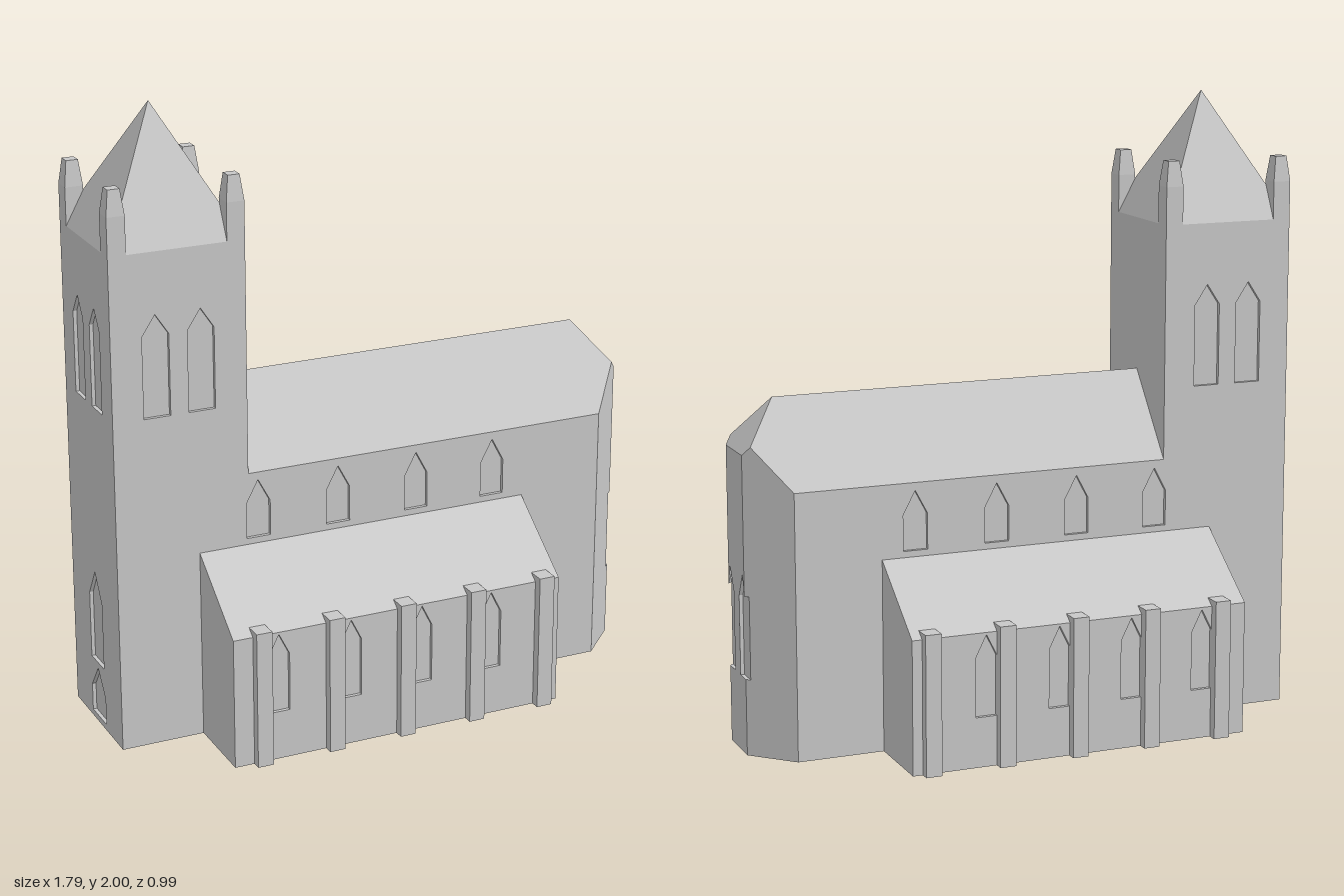
import * as THREE from 'three';
import { ConvexGeometry } from 'three/addons/geometries/ConvexGeometry.js';

const W = 0.207;               // half width of tower and nave
const T = 0.012;               // depth of the window recesses
const TOWER = [-0.9, -0.465];  // tower extent in x
const CHAMFER = 0.77, END = 0.895, EAVES = 0.85, RIDGE = 1.11;

export function createModel() {
  const stone = new THREE.MeshStandardMaterial({ color: 0xc8c8c8 });
  stone.name = 'stone grey';
  const church = new THREE.Group();
  church.name = 'church';

  const add = (name, geometry) => {
    const mesh = new THREE.Mesh(geometry, stone);
    mesh.name = name;
    church.add(mesh);
    return mesh;
  };

  const box = (name, x0, x1, y0, y1, z0, z1) =>
    add(name, new THREE.BoxGeometry(x1 - x0, y1 - y0, z1 - z0)
      .translate((x0 + x1) / 2, (y0 + y1) / 2, (z0 + z1) / 2));

  const hull = (name, points) =>
    add(name, new ConvexGeometry(points.map((p) => new THREE.Vector3(...p))));

  // Extrusion of an outline with holes, always wound counter-clockwise
  const extrude = (outline, depth, holes = []) => {
    const toPoints = (list) => list.map(([u, v]) => new THREE.Vector2(u, v));
    const points = toPoints(outline);
    if (THREE.ShapeUtils.area(points) < 0) points.reverse();
    const shape = new THREE.Shape(points);
    shape.holes = holes.map((h) => new THREE.Path(toPoints(h)));
    return new THREE.ExtrudeGeometry(shape, { depth, bevelEnabled: false });
  };

  // Pointed window outline
  const lancet = (c, half, y0, shoulder, peak) =>
    [[c - half, y0], [c + half, y0], [c + half, shoulder], [c, peak], [c - half, shoulder]];

  // Wall slab with window holes; its outer face lies at the given distance
  const wall = (outline, holes, distance, angle) =>
    extrude(outline, T, holes).translate(0, 0, distance - T).rotateY(angle);

  const rect = (u0, u1, v0, v1) => [[u0, v0], [u1, v0], [u1, v1], [u0, v1]];

  // Tower body and its west wall with door and windows
  box('towerCore', TOWER[0] + T, TOWER[1], 0, 1.6, -W + T, W - T);
  add('towerEndWall', wall(rect(-W + T, W - T, 0, 1.6), [
    lancet(-0.072, 0.043, 1.08, 1.34, 1.405),
    lancet(0.072, 0.043, 1.08, 1.34, 1.405),
    lancet(0, 0.055, 0.21, 0.43, 0.52),
    lancet(0, 0.06, 0.02, 0.11, 0.19),
  ], 0.9, -Math.PI / 2));

  // Pyramid spire
  const towerX = (TOWER[0] + TOWER[1]) / 2;
  const halfX = (TOWER[1] - TOWER[0]) / 2;
  const corners = [[-1, -1], [1, -1], [1, 1], [-1, 1]];
  hull('spire', [[towerX, 2, 0],
    ...corners.map(([i, k]) => [towerX + i * halfX, 1.6, k * W])]);

  // Corner pinnacles with tapered tops
  for (const [i, k] of corners) {
    const r = 0.029, x = towerX + i * (halfX - r), z = k * (W - r);
    hull('pinnacle', [[1.6, r], [1.72, r], [1.8, 0.019]].flatMap(([y, h]) =>
      corners.map(([a, b]) => [x + a * h, y, z + b * h])));
  }

  // Nave body, pitched roof and hipped apse roof
  box('naveCore', TOWER[1], CHAMFER, 0, EAVES, -W + T, W - T);
  const pitch = (RIDGE - EAVES) / W;
  const endZ = CHAMFER + W - END;
  const tip = RIDGE - (END - CHAMFER) * pitch;
  hull('naveRoof', [[TOWER[1], RIDGE, 0], [CHAMFER, RIDGE, 0],
    ...[1, -1].flatMap((s) => [
      [TOWER[1], EAVES, s * W], [CHAMFER, EAVES, s * W], [END, EAVES, s * endZ],
      [END, tip, s * endZ], [CHAMFER + W / 2, RIDGE - pitch * W / 2, s * W / 2],
    ])]);

  // Apse walls below the roof
  const innerZ = endZ + T;
  hull('apse', [0, EAVES].flatMap((y) => [1, -1].flatMap((s) =>
    [[CHAMFER, y, s * W], [END - T, y, s * innerZ]])));

  // Apse end wall: windows are notched through its chamfered corners
  const half = [[innerZ, 0], [innerZ, 0.245], [0.028, 0.245], [0.028, 0.5],
    [0.065, 0.575], [innerZ, 0.51], [innerZ, EAVES]];
  const mirrored = half.map(([u, v]) => [-u, v]).reverse();
  const endWall = extrude([...half, ...mirrored], T);
  const pos = endWall.attributes.position;
  for (let i = 0; i < pos.count; i++) {
    if (pos.getZ(i) > T / 2) pos.setX(i, THREE.MathUtils.clamp(pos.getX(i), -endZ, endZ));
  }
  endWall.computeVertexNormals();
  add('apseEndWall', endWall.translate(0, 0, END - T).rotateY(Math.PI / 2));

  // Long sides, mirrored front to back
  for (const s of [1, -1]) {
    const angle = s > 0 ? 0 : Math.PI;
    const flip = (list) => list.map(([u, v]) => [u * s, v]);

    // Shared side wall of tower and nave
    const elevation = [[TOWER[0], 0], [CHAMFER, 0], [CHAMFER, EAVES],
      [TOWER[1], EAVES], [TOWER[1], 1.6], [TOWER[0], 1.6]];
    const windows = [-0.757, -0.612].map((x) => lancet(x, 0.043, 1.08, 1.34, 1.405));
    for (let i = 0; i < 4; i++) {
      windows.push(lancet(-0.433 + i * 0.271, 0.04, 0.635, 0.75, 0.825));
    }
    add('sideWall', wall(flip(elevation), windows.map(flip), W, angle));

    // Aisle with lean-to roof
    const section = [[0.19, 0], [0.465 - T, 0], [0.465 - T, 0.422], [0.465, 0.422],
      [0.465, 0.427], [W, 0.615], [0.19, 0.615]];
    add('aisle', extrude(flip(section), 1.12).rotateY(-Math.PI / 2).translate(0.49, 0, 0));

    // Aisle wall with windows
    const aisleWindows = [];
    for (let i = 0; i < 4; i++) {
      aisleWindows.push(lancet(-0.48 + i * 0.243, 0.035, 0.16, 0.35, 0.42));
    }
    add('aisleWall', wall(flip(rect(-0.63, 0.49, 0, 0.422)), aisleWindows.map(flip), 0.465, angle));

    // Buttresses
    for (let i = 0; i < 5; i++) {
      const x = -0.54 + i * 0.243;
      const z = [s * 0.435, s * 0.495].sort((a, b) => a - b);
      box('buttress', x - 0.026, x + 0.026, 0, 0.448, z[0], z[1]);
    }
  }
  return church;
}
